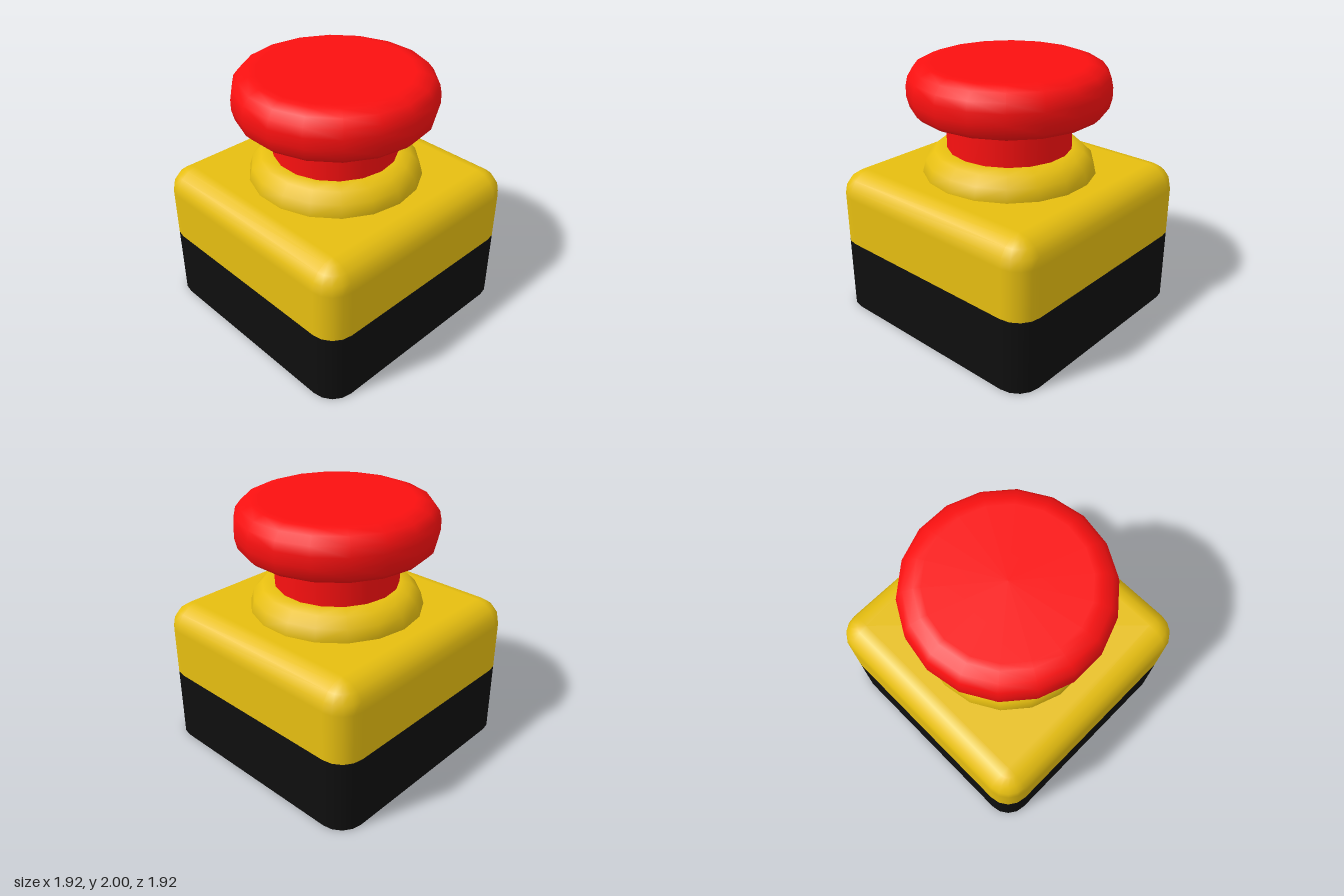
import * as THREE from 'three';

const HALF = 0.96, RADIUS = 0.19, STEPS = 4, SIDES = 18;
const yellow = new THREE.MeshStandardMaterial({ color: 0xe6be10 });
const red = new THREE.MeshStandardMaterial({ color: 0xfa1010 });
const black = new THREE.MeshStandardMaterial({ color: 0x0e0e0e });

// Rounded-square block; the rings carry their own normals so flats stay flat.
// Each ring: [y, corner radius, upward tilt of the normal]
function roundedBlock(rings) {
  const pos = [], nor = [], idx = [];
  const n = 4 * (STEPS + 1), core = HALF - RADIUS;
  rings.forEach(([y, r, tilt]) => {
    for (let c = 0; c < 4; c++) {
      const mid = (c + 0.5) * Math.PI / 2;
      for (let s = 0; s <= STEPS; s++) {
        const a = (c + s / STEPS) * Math.PI / 2;
        pos.push(Math.sign(Math.cos(mid)) * core + r * Math.cos(a), y,
          Math.sign(Math.sin(mid)) * core + r * Math.sin(a));
        nor.push(Math.cos(a) * Math.cos(tilt), Math.sin(tilt), Math.sin(a) * Math.cos(tilt));
      }
    }
  });
  for (let k = 0; k < rings.length - 1; k++) {
    for (let i = 0; i < n; i++) {
      const a = k * n + i, b = k * n + (i + 1) % n;
      idx.push(a, a + n, b, b, a + n, b + n);
    }
  }
  // Flat lids at both ends
  [[0, -1], [rings.length - 1, 1]].forEach(([k, dir]) => {
    const start = pos.length / 3;
    for (let i = 0; i < n; i++) {
      const j = 3 * (k * n + i);
      pos.push(pos[j], pos[j + 1], pos[j + 2]);
      nor.push(0, dir, 0);
    }
    for (let i = 1; i < n - 1; i++) {
      if (dir > 0) idx.push(start, start + i + 1, start + i);
      else idx.push(start, start + i, start + i + 1);
    }
  });
  const g = new THREE.BufferGeometry();
  g.setAttribute('position', new THREE.Float32BufferAttribute(pos, 3));
  g.setAttribute('normal', new THREE.Float32BufferAttribute(nor, 3));
  g.setIndex(idx);
  return g;
}

export function createModel() {
  const model = new THREE.Group();
  const add = (name, geometry, material) => {
    const mesh = new THREE.Mesh(geometry, material);
    mesh.name = name;
    model.add(mesh);
    return mesh;
  };

  // Lower housing
  add('base', roundedBlock([[0, RADIUS, 0], [0.575, RADIUS, 0]]), black);

  // Upper housing with a rounded top edge
  const rings = [[0.58, RADIUS, 0]];
  for (let s = 0; s <= STEPS; s++) {
    const t = s / STEPS * Math.PI / 2;
    rings.push([1.155 - RADIUS + RADIUS * Math.sin(t), RADIUS * Math.cos(t), t]);
  }
  add('cover', roundedBlock(rings), yellow);

  // Half-sunk ring around the stem
  const collar = new THREE.TorusGeometry(0.48, 0.19, 12, SIDES);
  collar.rotateX(Math.PI / 2);
  collar.translate(0, 1.155, 0);
  add('collar', collar, yellow);

  // Push-button stem
  const stem = new THREE.CylinderGeometry(0.48, 0.48, 0.48, SIDES, 1, true);
  stem.rotateY(Math.PI / 18);
  stem.translate(0, 1.39, 0);
  add('stem', stem, red);

  // Mushroom-shaped button head
  const profile = [
    [0.46, 1.62], [0.64, 1.62], [0.705, 1.638], [0.745, 1.68], [0.765, 1.76],
    [0.765, 1.84], [0.75, 1.91], [0.705, 1.967], [0.63, 1.998], [0.58, 2], [0, 2],
  ].map(([x, y]) => new THREE.Vector2(x, y));
  const head = new THREE.LatheGeometry(profile, SIDES);
  head.rotateY(Math.PI / 18);
  add('buttonHead', head, red);

  return model;
}
